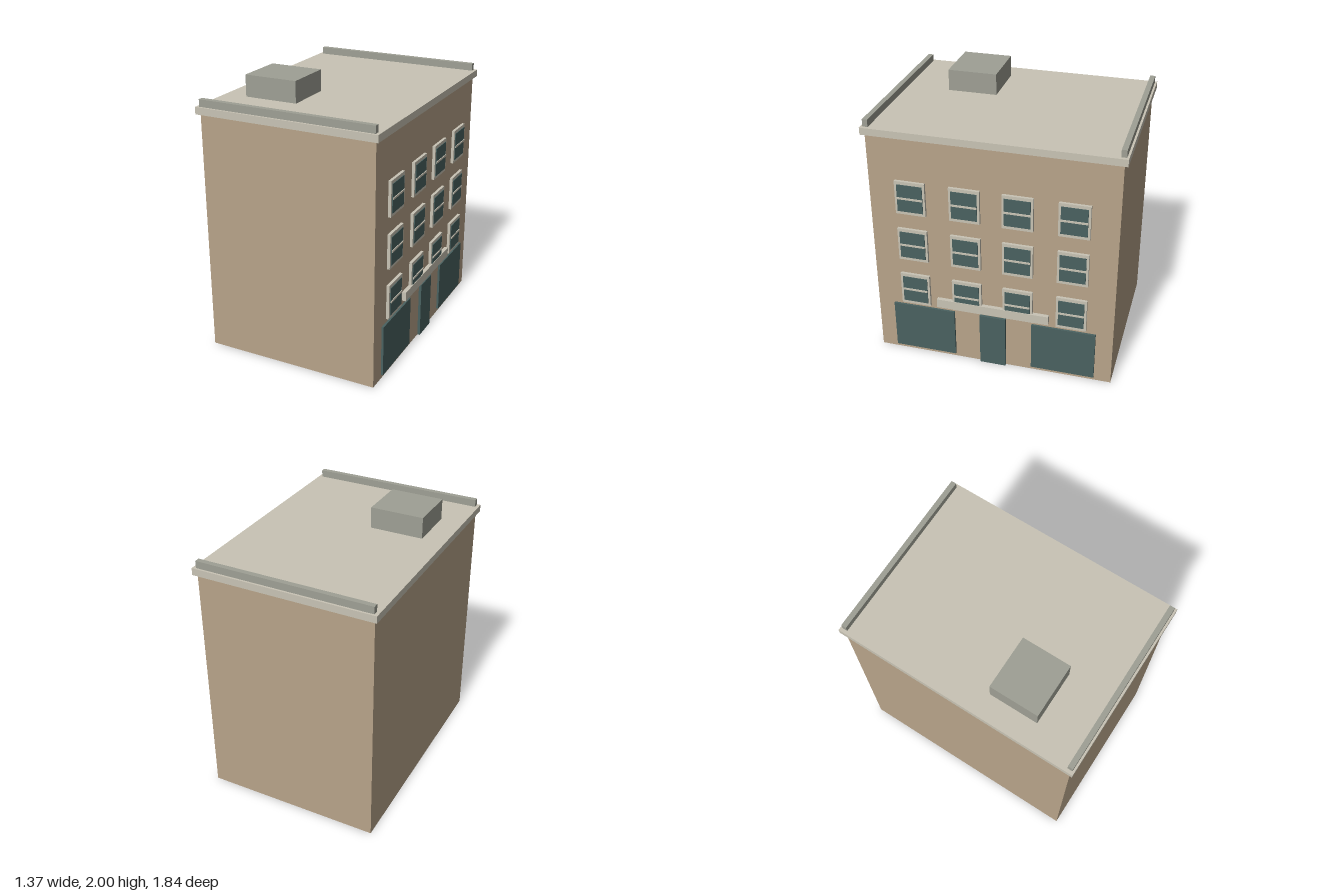
import * as THREE from 'three';

const mat = (name, color) => {
  const m = new THREE.MeshStandardMaterial({ color });
  m.name = name;
  return m;
};

export function createModel() {
  const wall = mat('wall', 0xb8a48a);
  const trim = mat('trim', 0xc9c4b5);
  const glass = mat('glass', 0x4a6261);
  const roofGrey = mat('roofGrey', 0x9fa095);

  const model = new THREE.Group();
  model.name = 'building';

  // Box given by its extents on each axis
  const box = (name, material, [x0, x1], [y0, y1], [z0, z1], parent = model) => {
    const mesh = new THREE.Mesh(new THREE.BoxGeometry(x1 - x0, y1 - y0, z1 - z0), material);
    mesh.position.set((x0 + x1) / 2, (y0 + y1) / 2, (z0 + z1) / 2);
    mesh.name = name;
    parent.add(mesh);
    return mesh;
  };
  const around = (c, size) => [c - size / 2, c + size / 2];

  const face = 0.652; // facade plane on the +x side

  // Main block and roof
  box('walls', wall, [-0.659, face], [0, 1.79], [-0.892, 0.892]);
  box('roofSlab', trim, [-0.684, 0.677], [1.79, 1.842], [-0.918, 0.918]);
  box('frontParapet', roofGrey, [-0.659, face], [1.842, 1.895], [0.865, 0.903]);
  box('backParapet', roofGrey, [-0.659, face], [1.842, 1.895], [-0.903, -0.865]);
  box('rooftopUnit', roofGrey, [-0.513, -0.114], [1.842, 2], [0.182, 0.546]);

  // Windows: surround, pane and cross bar, three floors of four
  for (const y of [0.57, 0.953, 1.335]) {
    for (const z of [-0.585, -0.19, 0.19, 0.585]) {
      const win = new THREE.Group();
      win.name = 'window';
      box('windowSurround', trim, [face, 0.673], around(y, 0.258), around(z, 0.222), win);
      box('windowPane', glass, [0.673, 0.678], around(y, 0.21), around(z, 0.188), win);
      box('windowBar', trim, [0.678, 0.684], around(y, 0.014), around(z, 0.188), win);
      model.add(win);
    }
  }

  // Ground floor: shop windows, door and fascia above
  for (const s of [-1, 1]) {
    box('shopWindow', glass, [face, 0.668], [0.03, 0.415], around(s * 0.53, 0.473));
  }
  box('door', glass, [face, 0.672], [0, 0.424], [-0.098, 0.098]);
  box('fascia', trim, [face, 0.682], [0.45, 0.519], [-0.42, 0.42]);

  return model;
}
